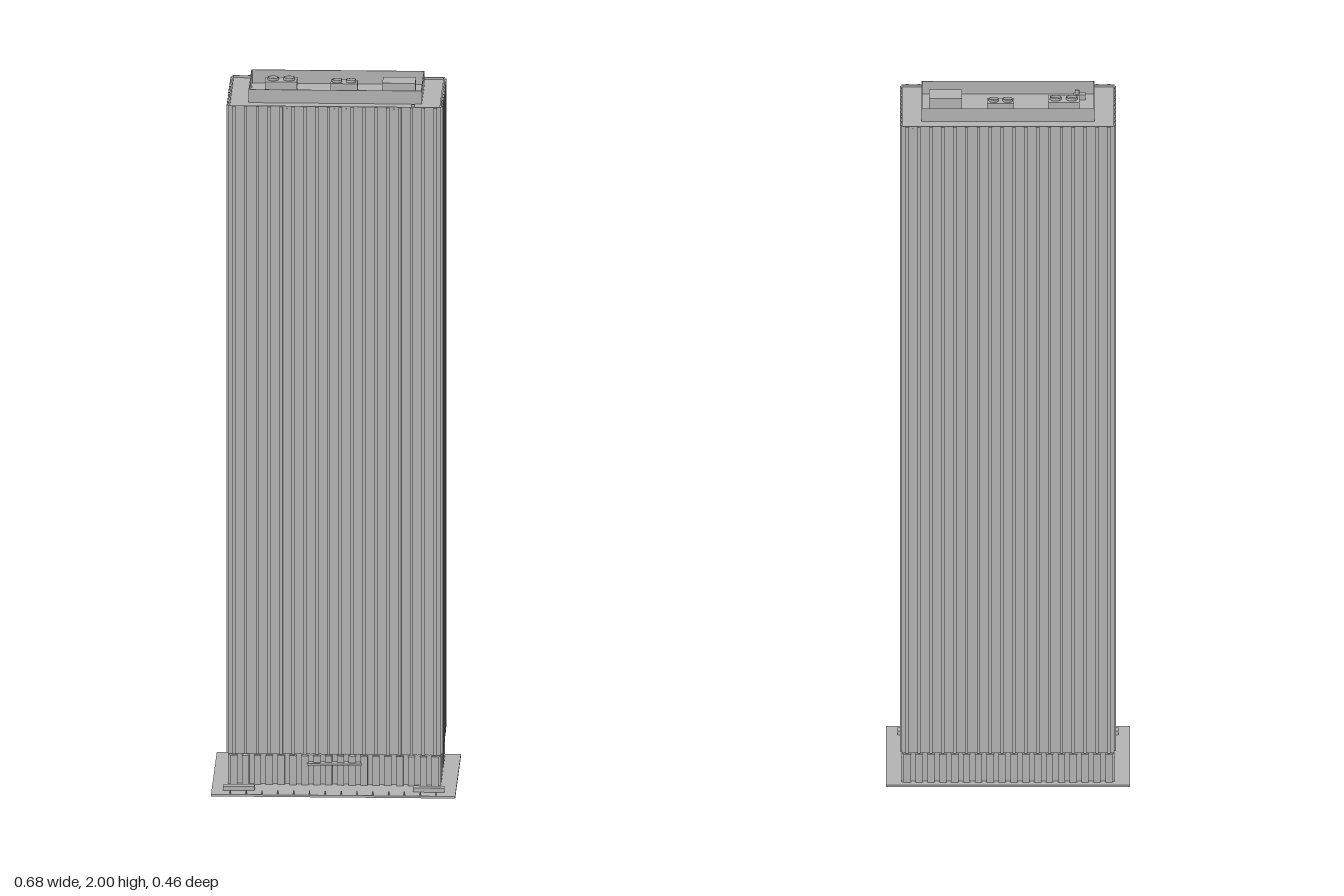
import * as THREE from 'three';

export function createModel() {
  const model = new THREE.Group();
  const gray = new THREE.MeshStandardMaterial({ color: 0xb3b3b3 });
  gray.name = 'concrete gray';

  const add = (name, geometry, parent = model) => {
    const mesh = new THREE.Mesh(geometry, gray);
    mesh.name = name;
    parent.add(mesh);
    return mesh;
  };
  // box from minimum and maximum corners
  const box = (name, x0, x1, y0, y1, z0, z1, parent) =>
    add(name, new THREE.BoxGeometry(x1 - x0, y1 - y0, z1 - z0), parent)
      .position.set((x0 + x1) / 2, (y0 + y1) / 2, (z0 + z1) / 2);
  // hollow rectangular wall
  const ring = (name, x0, x1, y0, y1, z0, z1, t) => {
    const rect = (C, d) => new C([[x0 + d, -z1 + d], [x1 - d, -z1 + d], [x1 - d, -z0 - d], [x0 + d, -z0 - d]]
      .map(([x, y]) => new THREE.Vector2(x, y)));
    const shape = rect(THREE.Shape, 0);
    shape.holes.push(rect(THREE.Path, t));
    const g = new THREE.ExtrudeGeometry(shape, { depth: y1 - y0, bevelEnabled: false });
    add(name, g.rotateX(-Math.PI / 2).translate(0, y0, 0));
  };
  const group = (name) => {
    const g = new THREE.Group();
    g.name = name;
    model.add(g);
    return g;
  };

  const X = 0.297, ZB = -0.211, ZF = 0.12, ZC = (ZB + ZF) / 2;
  const ROOF = 1.96, TOP = 1.966, BASE = 0.095, STEP = 0.0331;

  // plaza, recessed lobby, shaft and roof edge
  box('plaza', -0.341, 0.341, 0, 0.006, -0.231, 0.231);
  box('lobby', -X + 0.012, X - 0.012, 0.006, BASE, ZB + 0.012, ZF - 0.012);
  box('shaft', -X, X, BASE, ROOF, ZB, ZF);
  ring('roofParapet', -X, X, ROOF, TOP, ZB, ZF, 0.004);

  // facade: fins, thin mullions and ground columns on all four sides
  const facade = group('facade');
  const bar = (name, side, s, u, width, y0, y1, inset, out) => {
    if (side === 'long') {
      const face = s > 0 ? ZF : ZB;
      const a = face - s * inset, b = face + s * out;
      box(name, u - width / 2, u + width / 2, y0, y1, Math.min(a, b), Math.max(a, b), facade);
    } else {
      const a = s * (X - inset), b = s * (X + out);
      box(name, Math.min(a, b), Math.max(a, b), y0, y1, ZC + u - width / 2, ZC + u + width / 2, facade);
    }
  };
  for (const [side, count] of [['long', 18], ['short', 10]]) {
    for (const s of [-1, 1]) {
      for (let i = 0; i < count; i++) {
        const u = (i - (count - 1) / 2) * STEP;
        bar('fin', side, s, u, 0.009, BASE, TOP - 0.001, 0.001, 0.005);
        bar('column', side, s, u, 0.02, 0.006, BASE - 0.005, 0.014, 0);
        if (i < count - 1) bar('mullion', side, s, u + STEP / 2, 0.003, BASE, TOP - 0.006, 0.001, 0.0015);
      }
    }
  }

  // screen wall around the rooftop plant
  ring('roofScreen', -0.242, 0.242, ROOF, 1.998, -0.155, 0.063, 0.003);

  // cooling units with paired open fan rings
  const cooling = (x0, x1, z0, z1, top, r, fans) => {
    const unit = group('coolingUnit');
    box('unitHousing', x0, x1, ROOF, top, z0, z1, unit);
    const profile = [[r - 0.002, 0], [r, 0], [r, 0.007], [r - 0.002, 0.007], [r - 0.002, 0]]
      .map(([a, b]) => new THREE.Vector2(a, b));
    for (const x of fans)
      add('fanRing', new THREE.LatheGeometry(profile, 24), unit).position.set(x, top, (z0 + z1) / 2);
  };
  cooling(-0.2, -0.111, -0.095, -0.04, 1.993, 0.016, [-0.178, -0.133]);
  cooling(-0.017, 0.058, -0.09, -0.046, 1.988, 0.014, [0.001, 0.04]);
  box('elevatorHouse', 0.129, 0.221, ROOF, 2, -0.08, -0.011);
  box('ventBox', -0.216, -0.183, ROOF, 1.975, 0.011, 0.03);
  add('ventPipe', new THREE.CylinderGeometry(0.006, 0.006, 0.015, 16)).position.set(-0.193, 1.98, 0.02);
  box('roofHatch', 0.213, 0.224, ROOF, 1.972, 0.105, 0.115);

  // entrance canopy, planters and bollards
  box('entranceCanopy', -0.077, 0.076, 0.066, 0.071, 0.1, 0.133);
  for (const s of [-1, 1]) {
    const x = s * 0.265;
    box('planter', x - 0.044, x + 0.044, 0.006, 0.018, 0.163, 0.188);
  }
  const bollards = group('bollards');
  for (let i = 0; i < 14; i++) {
    add('bollard', new THREE.CylinderGeometry(0.002, 0.002, 0.01, 10), bollards)
      .position.set((i - 6.5) * 0.0442, 0.011, 0.222);
  }
  return model;
}
